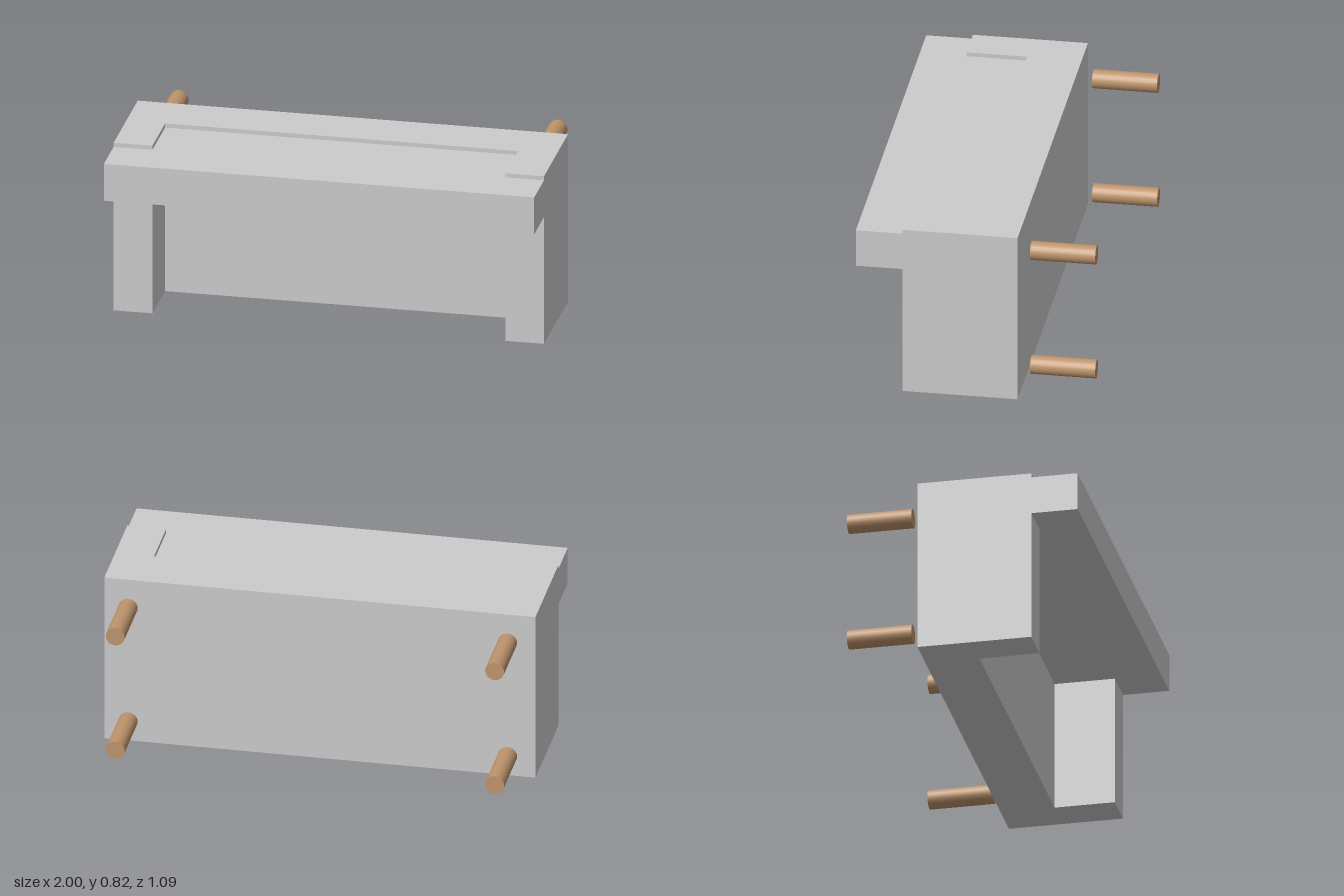
import * as THREE from 'three';

// Extrudes a floor-plan outline of [x, z] corners upward from y0 to y1
function plan(points, y0, y1) {
  const shape = new THREE.Shape(points.map(([x, z]) => new THREE.Vector2(x, -z)));
  const geometry = new THREE.ExtrudeGeometry(shape, { depth: y1 - y0, bevelEnabled: false });
  return geometry.rotateX(-Math.PI / 2).translate(0, y0, 0);
}

export function createModel() {
  const group = new THREE.Group();
  const stone = new THREE.MeshStandardMaterial({ color: 0xcccccc });
  const wood = new THREE.MeshStandardMaterial({ color: 0xbe946c });

  const add = (name, geometry, material) => {
    const mesh = new THREE.Mesh(geometry, material);
    mesh.name = name;
    group.add(mesh);
    return mesh;
  };

  const back = -0.2, recess = 0.05, pier = 0.33, front = 0.545, inner = 0.82;

  // Back wall with a pier at each end, U-shaped in plan
  add('wallAndPiers', plan([
    [-1, back], [1, back], [1, pier], [inner, pier],
    [inner, recess], [-inner, recess], [-inner, pier], [-1, pier],
  ], 0, 0.82), stone);

  // Counter slab fitted between the piers and overhanging in front of them
  add('counterSlab', plan([
    [-inner, recess], [inner, recess], [inner, pier], [1, pier],
    [1, front], [-1, front], [-1, pier], [-inner, pier],
  ], 0.62, 0.8), stone);

  // Four wooden pegs standing just clear of the back wall
  const peg = new THREE.CylinderGeometry(0.044, 0.044, 0.3, 24).rotateX(Math.PI / 2);
  for (const [side, x] of [['left', 0.88], ['right', -0.88]]) {
    for (const [level, y] of [['Upper', 0.703], ['Lower', 0.123]]) {
      add(`${side}${level}Peg`, peg, wood).position.set(x, y, -0.395);
    }
  }

  return group;
}
